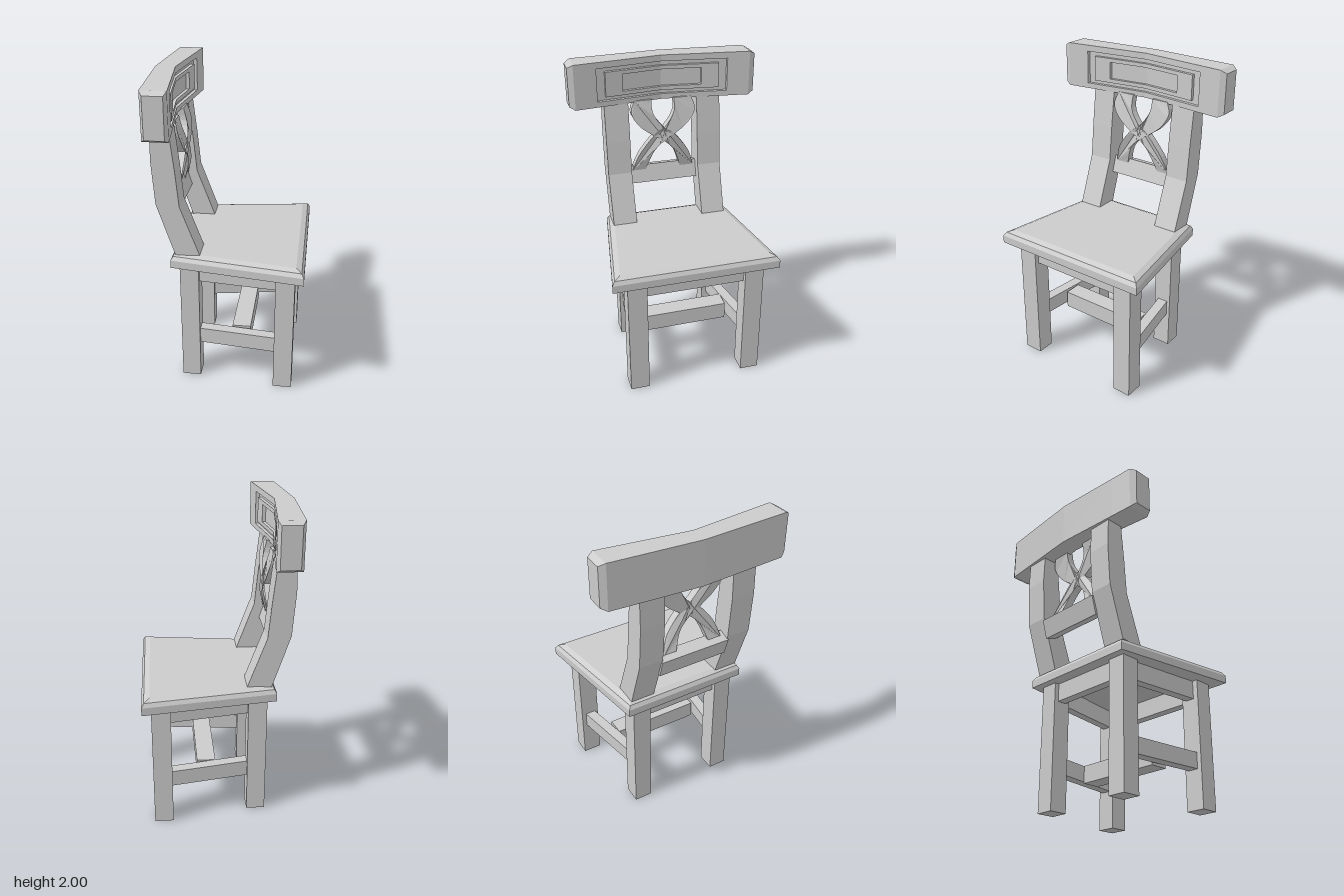
import * as THREE from 'three';

const mat = new THREE.MeshStandardMaterial({ color: 0xcccccc, flatShading: true });
const lerp = THREE.MathUtils.lerp;

export function createModel() {
  const chair = new THREE.Group();

  function add(name, geo, parent = chair) {
    const g = geo.index ? geo.toNonIndexed() : geo;
    g.computeVertexNormals();
    const mesh = new THREE.Mesh(g, mat);
    mesh.name = name;
    parent.add(mesh);
    return mesh;
  }

  // Six-sided block whose corners come from fn(u, v, w), each 0..1 along x, y, z
  function block(name, fn, parent) {
    const g = new THREE.BoxGeometry(1, 1, 1);
    const p = g.attributes.position;
    for (let i = 0; i < p.count; i++) {
      p.setXYZ(i, ...fn(p.getX(i) + 0.5, p.getY(i) + 0.5, p.getZ(i) + 0.5));
    }
    return add(name, g, parent);
  }

  const box = (name, x0, x1, y0, y1, z0, z1) =>
    block(name, (u, v, w) => [lerp(x0, x1, u), lerp(y0, y1, v), lerp(z0, z1, w)]);

  // Side profile in x, y extruded from z0 to z1
  function profile(name, pts, z0, z1) {
    const shape = new THREE.Shape(pts.map(([x, y]) => new THREE.Vector2(x, y)));
    const g = new THREE.ExtrudeGeometry(shape, { depth: z1 - z0, bevelEnabled: false });
    add(name, g.translate(0, 0, z0));
  }

  // Seat: tapered slab with a rounded upper edge, as [height, inset] rings
  const seat = new THREE.Group();
  seat.name = 'seat';
  chair.add(seat);
  const rings = [[0.83, 0], [0.88, 0], [0.905, 0.015], [0.92, 0.05]];
  for (let i = 0; i < 3; i++) {
    block('seatLayer', (u, v, w) => {
      const [y, inset] = rings[i + v];
      const x = lerp(-0.35 + inset, 0.485 - inset, u);
      const half = 0.413 + (x + 0.35) * 0.149 - inset;
      return [x, y, -0.007 + lerp(-half, half, w)];
    }, seat);
  }

  // Legs
  box('frontLeg', 0.31, 0.43, 0, 0.83, 0.305, 0.43);
  box('frontLeg', 0.31, 0.43, 0, 0.83, -0.46, -0.337);
  box('backLeg', -0.30, -0.18, 0, 0.83, 0.25, 0.37);
  box('backLeg', -0.30, -0.18, 0, 0.83, -0.365, -0.245);

  // Aprons and side stretchers follow the taper between back and front legs
  function sideBar(name, y0, y1, zBack, zFront, width) {
    block(name, (u, v, w) => [
      lerp(-0.2, 0.33, u), lerp(y0, y1, v),
      lerp(zBack, zFront, u) + (w - 0.5) * width,
    ]);
  }
  for (const [zb, zf] of [[0.31, 0.367], [-0.305, -0.398]]) {
    sideBar('sideApron', 0.71, 0.83, zb, zf, 0.06);
    sideBar('sideStretcher', 0.25, 0.355, zb, zf, 0.07);
  }
  box('frontApron', 0.34, 0.40, 0.71, 0.83, -0.35, 0.32);
  box('backApron', -0.27, -0.21, 0.71, 0.83, -0.26, 0.26);
  box('crossStretcher', 0.025, 0.145, 0.24, 0.356, -0.31, 0.285);

  // Curved back posts
  const post = [
    [-0.165, 0.915], [-0.285, 1.24], [-0.305, 1.46], [-0.335, 1.73],
    [-0.445, 1.73], [-0.45, 1.53], [-0.43, 1.25], [-0.32, 0.915],
  ];
  profile('backPost', post, 0.23, 0.388);
  profile('backPost', post, -0.388, -0.23);

  // Tilted lower rail between the posts
  profile('lowerBackRail', [
    [-0.32, 1.14], [-0.355, 1.255], [-0.435, 1.23], [-0.40, 1.11],
  ], -0.235, 0.235);

  // Two crossing curved strands of the back
  const spline = (pts) => new THREE.SplineCurve(
    pts.map(([z, y]) => new THREE.Vector2(z, y))).getPoints(20);
  const splatFront = new THREE.SplineCurve([
    [-0.345, 1.22], [-0.312, 1.36], [-0.30, 1.48], [-0.305, 1.6], [-0.333, 1.72],
  ].map(([x, y]) => new THREE.Vector2(x, y)));
  const outer = [[0.19, 1.72], [0.215, 1.64], [0.16, 1.55], [0.07, 1.48],
    [0, 1.435], [-0.07, 1.36], [-0.12, 1.225]];
  const inner = [[0.075, 1.72], [0.07, 1.63], [0, 1.53], [-0.07, 1.48],
    [-0.15, 1.38], [-0.185, 1.31], [-0.21, 1.225]];
  for (const s of [1, -1]) {
    const flip = (pts) => pts.map(([z, y]) => [s * z, y]);
    const shape = new THREE.Shape([...spline(flip(outer)), ...spline(flip(inner)).reverse()]);
    const g = new THREE.ExtrudeGeometry(shape, { depth: 0.05, bevelEnabled: false });
    const p = g.attributes.position;
    for (let i = 0; i < p.count; i++) {
      const y = p.getY(i);
      const x = splatFront.getPoint(THREE.MathUtils.clamp((y - 1.22) / 0.5, 0, 1)).x;
      p.setXYZ(i, x - 0.05 + p.getZ(i), y, -p.getX(i));
    }
    add('crossSplat', g);
  }

  // Top rail: two straight halves meeting in a shallow V, with a grooved panel
  const rail = new THREE.Group();
  rail.name = 'topRail';
  chair.add(rail);
  const railBack = (z) => -0.485 + Math.abs(z) * 0.07;
  const railFront = (z) => -0.36 + Math.abs(z) * 0.123;
  function railPiece(name, zIn, zOut, y0, y1, t0, t1, taper = 0) {
    for (const s of [1, -1]) {
      const za = s > 0 ? zIn : -zOut, zb = s > 0 ? zOut : -zIn;
      block(name, (u, v, w) => {
        const z = lerp(za, zb, w);
        const k = Math.abs(z) > 0.6 ? taper : 0;
        const x = lerp(railBack(z), railFront(z), lerp(t0, t1, u));
        return [x + k * (1 - 2 * u), lerp(y0 + k, y1 - k, v), z];
      }, rail);
    }
  }
  const floor = 0.84;
  railPiece('railCore', 0, 0.43, 1.71, 2, 0, floor);
  railPiece('railEnd', 0.43, 0.575, 1.71, 2, 0, 1);
  railPiece('railTip', 0.575, 0.612, 1.71, 2, 0, 1, 0.02);
  railPiece('railTopBorder', 0, 0.43, 1.96, 2, floor, 1);
  railPiece('railBottomBorder', 0, 0.43, 1.71, 1.745, floor, 1);
  railPiece('panelTop', 0, 0.375, 1.907, 1.932, floor, 1);
  railPiece('panelBottom', 0, 0.375, 1.77, 1.795, floor, 1);
  railPiece('panelSide', 0.26, 0.375, 1.795, 1.907, floor, 1);

  return chair;
}
